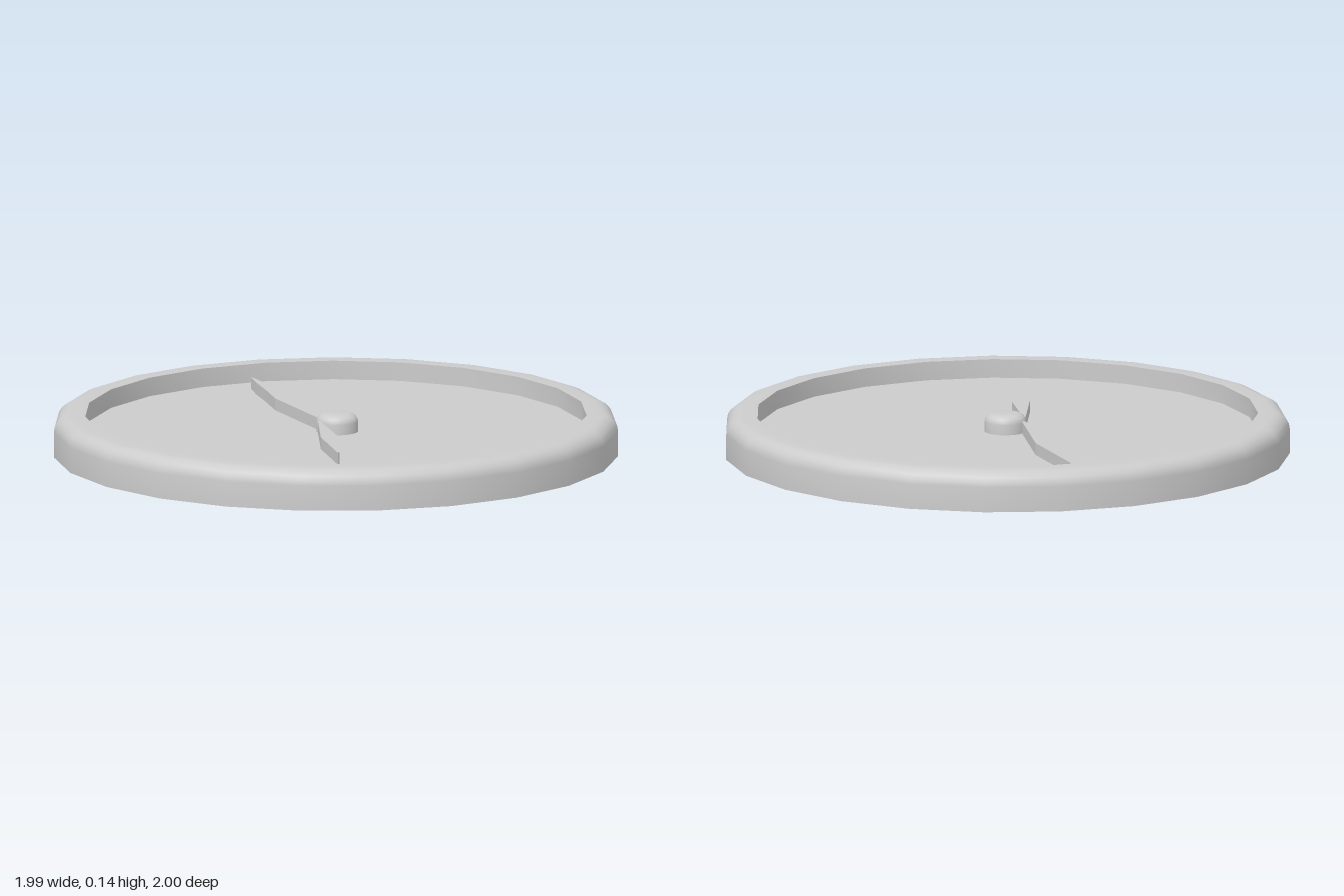
import * as THREE from 'three';
import { toCreasedNormals } from 'three/addons/utils/BufferGeometryUtils.js';

const RIM_SIDES = 23;
const FLOOR = 0.078;
const material = new THREE.MeshStandardMaterial({ color: 0xcccccc });

function addPart(group, name, geometry) {
  const mesh = new THREE.Mesh(geometry, material);
  mesh.name = name;
  group.add(mesh);
  return mesh;
}

// Quarter-round from a vertical side of radius r over to a flat top at height y
function roundedEdge(r, y, rx, ry, steps) {
  const points = [];
  for (let i = 0; i <= steps; i++) {
    const a = (i / steps) * Math.PI / 2;
    points.push([r - rx * (1 - Math.cos(a)), y - ry * (1 - Math.sin(a))]);
  }
  return points;
}

// Turned part with a corner on +x and sharp edges kept
function turned(profile, sides) {
  const points = profile.map(([x, y]) => new THREE.Vector2(x, y));
  const geometry = new THREE.LatheGeometry(points, sides).rotateY(Math.PI / 2);
  return toCreasedNormals(geometry, Math.PI / 5);
}

// Flat clock hand from an outline of [x, z] corners, lying on the dial
function hand(outline) {
  const shape = new THREE.Shape(outline.map(([x, z]) => new THREE.Vector2(x, -z)));
  return new THREE.ExtrudeGeometry(shape, { depth: 0.043, bevelEnabled: false })
    .rotateX(-Math.PI / 2)
    .translate(0, FLOOR, 0);
}

export function createModel() {
  const group = new THREE.Group();
  group.name = 'clock';

  // Case: flat back, rounded rim and recessed dial
  const clockCase = addPart(group, 'caseAndDial', turned([
    [0, 0], [1.002, 0],
    ...roundedEdge(1.002, 0.145, 0.06, 0.055, 5),
    [0.89, 0.145], [0.89, FLOOR], [0, FLOOR],
  ], RIM_SIDES));
  clockCase.position.x = -0.005;

  // Hub: short domed button in the middle of the dial
  addPart(group, 'hub', turned([
    [0.074, FLOOR],
    ...roundedEdge(0.074, 0.144, 0.035, 0.03, 5),
    [0, 0.144],
  ], 32));

  // Hands: slim kinked blades beside the hub
  addPart(group, 'minuteHand', hand([
    [-0.06, -0.03], [-0.053, -0.06], [-0.056, -0.41], [-0.143, -0.775],
    [-0.145, -0.67], [-0.139, -0.52], [-0.138, -0.395],
  ]));
  addPart(group, 'hourHand', hand([
    [-0.065, -0.03], [-0.123, 0.29], [-0.121, 0.562],
    [-0.113, 0.555], [-0.059, 0.285], [-0.066, 0.03],
  ]));

  return group;
}
